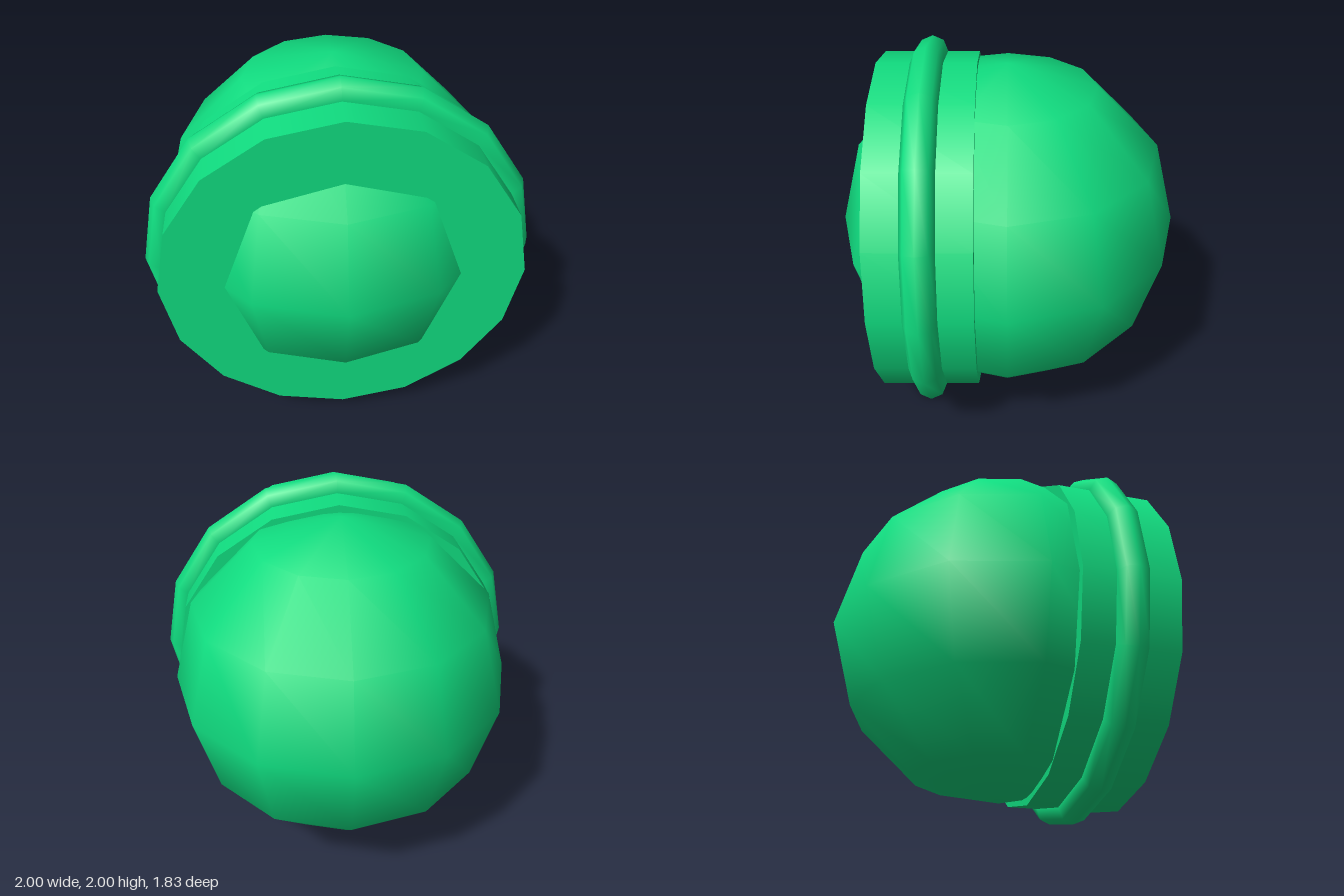
import * as THREE from 'three';

export function createModel() {
  const model = new THREE.Group();
  const material = new THREE.MeshStandardMaterial({ color: 0x10dd80 });
  const radius = 0.917;
  const bandZ = 0.408;

  function add(name, geometry, z) {
    const mesh = new THREE.Mesh(geometry, material);
    mesh.name = name;
    mesh.position.set(0, 1, z);
    model.add(mesh);
  }

  // Low-poly ball with smooth normals, poles up and down
  add('ball', new THREE.SphereGeometry(radius, 12, 6), 0);

  // Capped drum across the front of the ball
  add('drum', new THREE.CylinderGeometry(radius, radius, 0.51, 16).rotateX(Math.PI / 2), bandZ);

  // Raised ring around the middle of the drum
  add('ring', new THREE.TorusGeometry(radius, 1 - radius, 8, 16), bandZ);

  return model;
}
